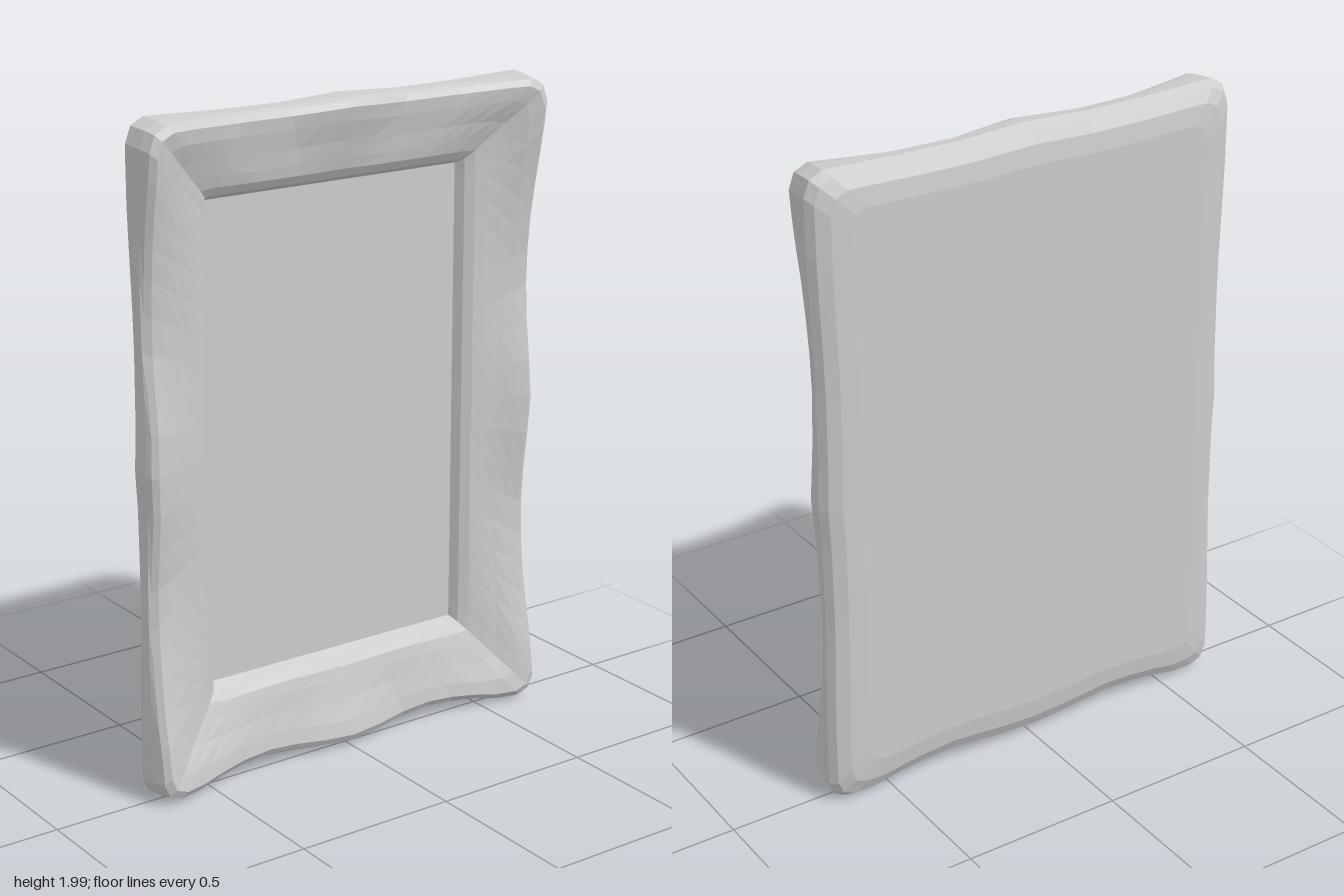
import * as THREE from 'three';

const OUTER = { x0: -0.7, x1: 0.7, y0: 0, y1: 2 };
const INNER = { x0: -0.44, x1: 0.43, y0: 0.31, y1: 1.74 };
const PANEL_Z = -0.05;
const LIP_Z = 0;

// Piecewise linear lookup through [key, value] pairs
function lookup(keys, t) {
  for (let i = 1; i < keys.length; i++) {
    const [a, va] = keys[i - 1], [b, vb] = keys[i];
    if (t <= b) return va + (vb - va) * (t - a) / (b - a);
  }
  return keys[keys.length - 1][1];
}

// Height of the front rim: high corners, a bump at the middle of each side
const SIDE_RIM = [[0, 0.043], [0.1, 0.04], [0.2, 0.028], [0.35, 0.012], [0.5, 0.015], [0.7, 0.042], [0.85, 0.07], [0.95, 0.083], [1, 0.08]];
const END_RIM = [[0, 0.05], [0.15, 0.042], [0.3, 0.028], [0.55, 0.032], [0.8, 0.06], [0.95, 0.083], [1, 0.08]];
// How far the outline is pulled in along a side; the last step rounds the corner
const SIDE_PULL = [[0, 0.008], [0.12, 0.014], [0.4, 0.016], [0.75, 0.004], [0.95, 0.004], [1, 0.022]];
const TOP_PULL = [[0, 0], [0.3, 0.01], [0.6, 0.008], [0.9, 0], [0.95, 0.004], [1, 0.022]];
const BOTTOM_PULL = [[0, 0.018], [0.15, 0.024], [0.45, 0.045], [0.65, 0.034], [0.84, 0.008], [0.95, 0.014], [1, 0.03]];

// Walk the four sides anticlockwise, pairing outline and opening points
function outline() {
  const points = [];
  const on = (r, ux, uy) => [
    (r.x0 + r.x1) / 2 + ux * (r.x1 - r.x0) / 2,
    (r.y0 + r.y1) / 2 + uy * (r.y1 - r.y0) / 2,
  ];
  const sides = [
    { at: u => [1, u], n: 20, rim: SIDE_RIM, upright: true },
    { at: u => [-u, 1], n: 16, rim: END_RIM },
    { at: u => [-1, -u], n: 20, rim: SIDE_RIM, upright: true },
    { at: u => [u, -1], n: 16, rim: END_RIM },
  ];
  for (const { at, n, rim, upright } of sides) {
    for (let i = 0; i < n; i++) {
      // Points gather slightly towards the corners
      const s = -1 + 2 * i / n;
      const u = 0.65 * s + 0.35 * Math.sin(s * Math.PI / 2);
      const [ux, uy] = at(u);
      const o = on(OUTER, ux, uy);
      const endPull = uy > 0 ? TOP_PULL : BOTTOM_PULL;
      if (upright || i === 0) o[0] -= Math.sign(ux) * lookup(SIDE_PULL, Math.abs(uy));
      if (!upright || i === 0) o[1] -= Math.sign(uy) * lookup(endPull, Math.abs(ux));
      points.push({ o, p: on(INNER, ux, uy), rim: lookup(rim, Math.abs(u)) });
    }
  }
  return points;
}

// Cross-section from the back face, round the outside, to the opening:
// [fraction from outline to opening, depth as a function of rim height]
const SECTION = [
  [0.42, () => -0.09],
  [0.2, () => -0.082],
  [0.06, () => -0.062],
  [0, () => -0.035],
  [0.02, rim => rim * 0.5 - 0.01],
  [0.05, rim => rim - 0.012],
  [0.12, rim => rim],
  [0.28, rim => THREE.MathUtils.lerp(rim, LIP_Z, 0.2)],
  [0.5, rim => THREE.MathUtils.lerp(rim, LIP_Z, 0.6)],
  [0.7, rim => THREE.MathUtils.lerp(rim, LIP_Z, 0.88)],
  [0.83, () => LIP_Z - 0.004],
  [0.93, () => LIP_Z - 0.022],
  [1, () => PANEL_Z - 0.005],
];

function frameGeometry() {
  const ring = outline(), n = ring.length;
  const pos = [], index = [];
  for (const [f, depth] of SECTION) {
    for (const { o, p, rim } of ring) {
      pos.push(o[0] + (p[0] - o[0]) * f, o[1] + (p[1] - o[1]) * f, depth(rim));
    }
  }
  for (let k = 0; k < SECTION.length - 1; k++) {
    for (let i = 0; i < n; i++) {
      const j = (i + 1) % n;
      const a = k * n + i, b = k * n + j, c = b + n, d = a + n;
      index.push(a, b, c, a, c, d);
    }
  }
  // Flat back
  const centre = pos.length / 3;
  pos.push(0, 1, -0.09);
  for (let i = 0; i < n; i++) index.push(centre, (i + 1) % n, i);
  const g = new THREE.BufferGeometry();
  g.setAttribute('position', new THREE.Float32BufferAttribute(pos, 3));
  g.setIndex(index);
  g.computeVertexNormals();
  return g;
}

export function createModel() {
  const grey = new THREE.MeshStandardMaterial({ color: 0xcccccc, flatShading: true });
  grey.name = 'stone grey';

  const model = new THREE.Group();
  model.name = 'pictureFrame';

  // Hand-carved surround with closed back
  const frame = new THREE.Mesh(frameGeometry(), grey);
  frame.name = 'carvedFrame';
  model.add(frame);

  // Flat panel filling the opening
  const panel = new THREE.Mesh(
    new THREE.PlaneGeometry(INNER.x1 - INNER.x0 + 0.01, INNER.y1 - INNER.y0 + 0.01), grey);
  panel.name = 'picturePanel';
  panel.position.set((INNER.x0 + INNER.x1) / 2, (INNER.y0 + INNER.y1) / 2, PANEL_Z);
  model.add(panel);

  return model;
}
